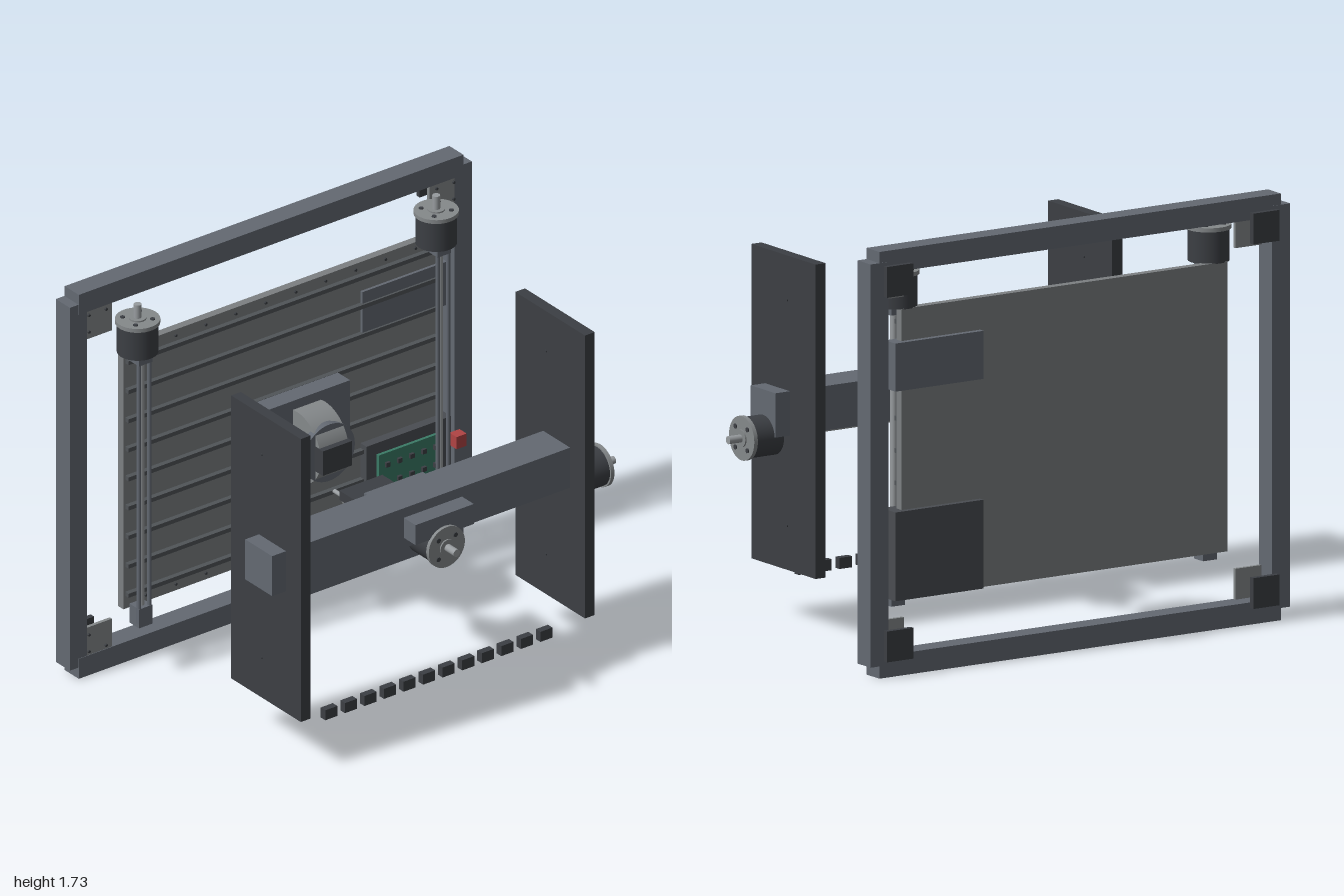
import * as THREE from 'three';

const mat = (color) => new THREE.MeshStandardMaterial({ color });
const M = {
  frame: mat(0x636972), light: mat(0x85898b), dark: mat(0x3c3f44),
  bed: mat(0x7c8082), slot: mat(0x505458), steel: mat(0x989c9f),
  board: mat(0x3a7a66), red: mat(0xb04444), box: mat(0x4a4d52),
};

export function createModel() {
  const root = new THREE.Group();

  const add = (parent, name, geo, m, x = 0, y = 0, z = 0) => {
    const mesh = new THREE.Mesh(geo, m);
    mesh.name = name;
    mesh.position.set(x, y, z);
    parent.add(mesh);
    return mesh;
  };
  // Box given by its limits on each axis
  const box = (name, m, x0, x1, y0, y1, z0, z1) =>
    add(root, name, new THREE.BoxGeometry(x1 - x0, y1 - y0, z1 - z0), m,
      (x0 + x1) / 2, (y0 + y1) / 2, (z0 + z1) / 2);
  // Cylinder along an axis between two coordinates
  const rod = (parent, name, m, axis, r, a, b, x, y, z, seg = 32) => {
    const c = add(parent, name, new THREE.CylinderGeometry(r, r, b - a, seg), m, x, y, z);
    c.position[axis] = (a + b) / 2;
    if (axis === 'x') c.rotation.z = -Math.PI / 2;
    if (axis === 'z') c.rotation.x = Math.PI / 2;
    return c;
  };
  // Stepper motor: built along +y from its base, then turned
  const motor = (name, x, y, z, rx = 0, rz = 0) => {
    const g = new THREE.Group();
    g.name = name;
    rod(g, 'motorBody', M.dark, 'y', 0.083, 0, 0.13, 0, 0, 0, 40);
    rod(g, 'motorFlange', M.light, 'y', 0.09, 0.13, 0.147, 0, 0, 0, 40);
    rod(g, 'motorBoss', M.light, 'y', 0.035, 0.147, 0.153, 0, 0, 0);
    rod(g, 'motorShaft', M.steel, 'y', 0.016, 0.147, 0.212, 0, 0, 0, 20);
    for (let i = 0; i < 4; i++) {
      const a = Math.PI / 4 + i * Math.PI / 2;
      rod(g, 'flangeScrew', M.dark, 'y', 0.01, 0.14, 0.151, 0.06 * Math.cos(a), 0, 0.06 * Math.sin(a), 12);
    }
    g.position.set(x, y, z);
    g.rotation.set(rx, 0, rz);
    root.add(g);
  };

  // Outer frame
  for (const s of [-1, 1]) {
    const x = s * 0.957;
    box('framePost', M.frame, x - 0.043, x + 0.043, 0.05, 1.685, -0.642, -0.55);
  }
  for (const y of [0, 1.64])
    box('frameBeam', M.frame, -0.957, 0.957, y, y + 0.09, -0.64, -0.548);

  // Corner plates, their bolts and the feet
  for (const s of [-1, 1]) {
    for (const top of [0, 1]) {
      const dir = top ? -1 : 1;
      const yc = top ? 1.5775 : 0.1525;
      add(root, 'cornerPlate', new THREE.BoxGeometry(0.125, 0.125, 0.015), M.light, s * 0.8525, yc, -0.558);
      add(root, 'foot', new THREE.BoxGeometry(0.125, 0.125, 0.022), M.dark,
        s * 0.8725, top ? 1.608 : 0.13, -0.652);
      for (const [dx, dy] of [[-0.055, -0.045], [-0.055, 0.03], [0.03, -0.045]])
        rod(root, 'cornerBolt', M.dark, 'z', 0.006, -0.556, -0.542,
          s * (0.8525 - dx), yc + dir * dy, 0, 8);
    }
  }

  // Work bed with slot strips and edge screws
  box('bed', M.bed, -0.78, 0.775, 0.28, 1.455, -0.525, -0.49);
  for (let i = 0; i < 9; i++) {
    const y = 1.395 - i * 0.131;
    box('bedStrip', M.slot, -0.77, 0.77, y - 0.009, y + 0.009, -0.492, -0.468);
  }
  for (const y of [0.31, 1.43])
    for (let i = 0; i < 10; i++)
      rod(root, 'bedScrew', M.dark, 'z', 0.006, -0.49, -0.482, -0.67 + i * 0.149, y, 0, 8);

  // Vertical drives on both sides of the bed
  for (const s of [-1, 1]) {
    const x = s * 0.743;
    rod(root, 'verticalScrew', M.steel, 'y', 0.015, 0.25, 1.46, x, 0, -0.425, 20);
    for (const [dx, z] of [[0.026, -0.402], [-0.026, -0.402]])
      rod(root, 'verticalRail', M.frame, 'y', 0.009, 0.25, 1.45, x + dx, 0, z, 16);
    box('lowerBearingBlock', M.frame, x - 0.033, x + 0.033, 0.235, 0.32, -0.455, -0.392);
    box('upperBearingBlock', M.frame, x - 0.033, x + 0.033, 1.415, 1.455, -0.455, -0.392);
    motor('verticalMotor', x, 1.452, -0.445);
  }

  // Electronics
  box('powerBox', M.frame, 0.4, 0.82, 1.13, 1.325, -0.55, -0.477);
  box('controlBox', M.box, 0.4, 0.82, 0.28, 0.64, -0.55, -0.45);
  box('circuitBoard', M.board, 0.45, 0.77, 0.33, 0.59, -0.45, -0.436);
  for (let i = 0; i < 5; i++)
    for (let j = 0; j < 3; j++)
      add(root, 'boardChip', new THREE.BoxGeometry(0.02, 0.02, 0.012), M.dark,
        0.49 + i * 0.06, 0.38 + j * 0.08, -0.43);
  box('stopSwitch', M.red, 0.81, 0.86, 0.515, 0.57, -0.447, -0.4);

  // Work holder: base plate, round body, collar and front block
  box('holderPlate', M.frame, -0.215, 0.215, 0.68, 1.06, -0.395, -0.315);
  rod(root, 'holderBody', M.light, 'x', 0.155, -0.07, 0.07, 0, 0.868, -0.287, 48);
  rod(root, 'holderCollar', M.frame, 'z', 0.127, -0.2, -0.168, 0, 0.868, 0, 40);
  box('holderBlock', M.dark, -0.073, 0.073, 0.81, 0.92, -0.17, -0.115);

  // Gantry side panels with small screws
  for (const s of [-1, 1]) {
    const x = s * 0.707;
    box('sidePanel', M.dark, x - 0.024, x + 0.024, 0.23, 1.505, 0.15, 0.605);
    for (const y of [0.41, 1.325])
      rod(root, 'panelScrew', M.dark, 'x', 0.006, x - 0.029, x + 0.029, 0, y, 0.35, 8);
  }

  // Gantry beam, its drive screw and motor
  box('gantryBeam', M.frame, -0.8, 0.8, 0.778, 0.958, 0.332, 0.508);
  rod(root, 'gantryScrew', M.steel, 'x', 0.015, -0.7, 0.77, 0, 0.765, 0.42, 20);
  motor('gantryMotor', 0.755, 0.772, 0.42, 0, -Math.PI / 2);

  // Spindle carriage and its motor
  box('carriageFront', M.frame, -0.145, 0.145, 0.825, 0.915, 0.505, 0.585);
  box('carriageBack', M.frame, -0.145, 0.145, 0.78, 0.915, 0.25, 0.335);
  box('spindleMount', M.dark, -0.107, 0.107, 0.78, 0.822, 0.037, 0.26);
  motor('plungeMotor', 0, 0.775, 0.452, Math.PI / 2);

  // Spindle: stepped cylinders ending in the tool
  for (const [name, m, r, a, b] of [
    ['spindleBody', M.light, 0.06, 0.018, 0.3],
    ['spindleNose', M.light, 0.042, -0.018, 0.018],
    ['spindleCollet', M.light, 0.027, -0.053, -0.018],
    ['cuttingTool', M.steel, 0.009, -0.135, -0.053],
  ]) rod(root, name, m, 'z', r, a, b, 0, 0.71, 0);

  // Row of cable chain links
  for (let i = 0; i < 12; i++) {
    const x = -0.535 + i * 0.0973;
    box('cableLink', M.dark, x - 0.03, x + 0.03, 0.158, 0.203, 0.517, 0.547);
  }

  return root;
}
